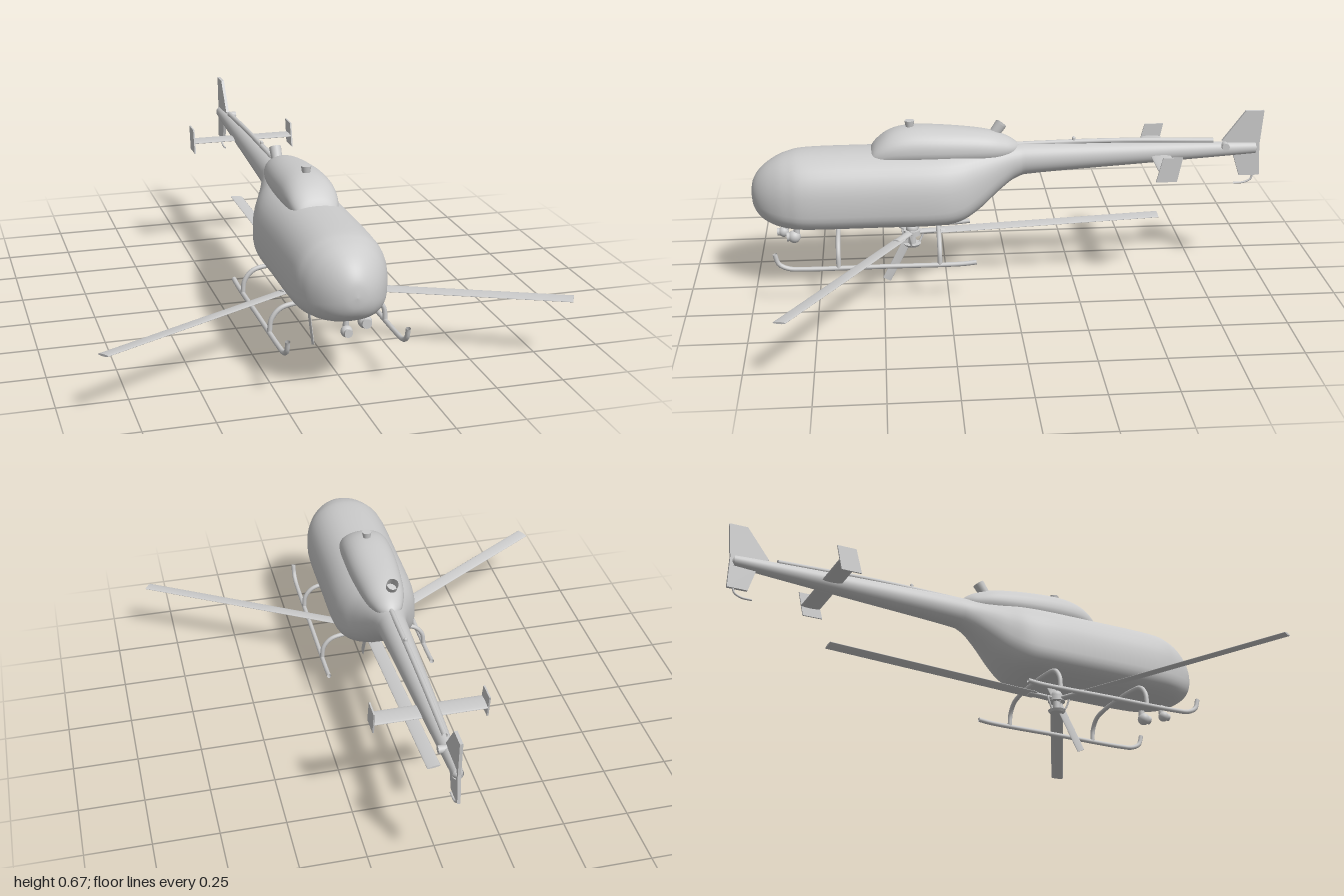
import * as THREE from 'three';

const V = (x, y, z) => new THREE.Vector3(x, y, z);
const mat = new THREE.MeshStandardMaterial({ color: 0xcccccc, side: THREE.DoubleSide });

function add(parent, name, geometry, x = 0, y = 0, z = 0) {
  const mesh = new THREE.Mesh(geometry, mat);
  mesh.name = name;
  mesh.position.set(x, y, z);
  parent.add(mesh);
  return mesh;
}

// Scalar Catmull-Rom between p1 and p2
const spline = (p0, p1, p2, p3, t) =>
  0.5 * (2 * p1 + (p2 - p0) * t + (2 * p0 - 5 * p1 + 4 * p2 - p3) * t * t + (3 * p1 - p0 - 3 * p2 + p3) * t ** 3);

// Smooth skin through stations [z, bottom, top, halfWidth, beltFraction, topPower, bottomPower]
function loft(stations, steps = 5, sides = 40) {
  const rings = [];
  const last = stations.length - 1;
  for (let i = 0; i < last; i++) {
    const p = [-1, 0, 1, 2].map(k => stations[Math.min(last, Math.max(0, i + k))]);
    for (let s = 0; s < steps; s++) rings.push(p[0].map((_, c) => spline(p[0][c], p[1][c], p[2][c], p[3][c], s / steps)));
  }
  rings.push(stations[last]);
  const pos = [], index = [];
  rings.forEach(([z, bottom, top, hw, belt, nTop, nBottom], i) => {
    const mid = bottom + belt * (top - bottom);
    for (let j = 0; j < sides; j++) {
      const a = j / sides * Math.PI * 2, c = Math.cos(a), s = Math.sin(a);
      const n = 2 / (s >= 0 ? nTop : nBottom);
      const h = s >= 0 ? top - mid : mid - bottom;
      pos.push(Math.sign(c) * Math.max(hw, 0) * Math.abs(c) ** n, mid + Math.sign(s) * h * Math.abs(s) ** n, z);
      if (i < rings.length - 1) {
        const k = (j + 1) % sides, r = i * sides, q = r + sides;
        index.push(r + j, q + j, r + k, r + k, q + j, q + k);
      }
    }
  });
  const g = new THREE.BufferGeometry();
  g.setAttribute('position', new THREE.Float32BufferAttribute(pos, 3));
  g.setIndex(index);
  g.computeVertexNormals();
  return g;
}

const tube = (points, r, segments = 32) =>
  new THREE.TubeGeometry(new THREE.CatmullRomCurve3(points), segments, r, 10);

// Thin plate from a side outline of [z, y] points
function plate(outline, thickness) {
  const shape = new THREE.Shape(outline.map(([z, y]) => new THREE.Vector2(-z, y)));
  const g = new THREE.ExtrudeGeometry(shape, { depth: thickness, bevelEnabled: false });
  return g.translate(0, 0, -thickness / 2).rotateY(Math.PI / 2);
}

// Elliptical-section bar running along z from z0 to z1
function blade(z0, z1, chord, thickness) {
  const g = new THREE.CylinderGeometry(1, 1, z1 - z0, 20);
  return g.rotateX(Math.PI / 2).scale(chord / 2, thickness / 2, 1).translate(0, 0, (z0 + z1) / 2);
}

export function createModel() {
  const model = new THREE.Group();
  model.name = 'helicopter';
  const craft = new THREE.Group();
  craft.name = 'airframe';
  craft.position.x = -0.015;
  model.add(craft);

  // Fuselage running into the tail boom
  add(craft, 'fuselage', loft([
    [1.0, 0.4, 0.4, 0, 0.45, 2, 2],
    [0.992, 0.35, 0.452, 0.042, 0.45, 2, 2.2],
    [0.965, 0.312, 0.496, 0.084, 0.43, 2, 2.5],
    [0.92, 0.288, 0.532, 0.122, 0.41, 2.1, 2.8],
    [0.86, 0.278, 0.558, 0.152, 0.4, 2.2, 3.2],
    [0.77, 0.275, 0.57, 0.17, 0.39, 2.3, 3.4],
    [0.5, 0.275, 0.572, 0.171, 0.39, 2.3, 3.4],
    [0.3, 0.275, 0.572, 0.17, 0.39, 2.3, 3.4],
    [0.2, 0.284, 0.572, 0.153, 0.4, 2.3, 3.2],
    [0.12, 0.325, 0.572, 0.118, 0.44, 2.2, 2.8],
    [0.04, 0.392, 0.572, 0.082, 0.48, 2.1, 2.4],
    [-0.03, 0.438, 0.572, 0.06, 0.5, 2, 2],
    [-0.12, 0.453, 0.571, 0.054, 0.5, 2, 2],
    [-0.55, 0.479, 0.563, 0.038, 0.5, 2, 2],
    [-0.93, 0.503, 0.552, 0.022, 0.5, 2, 2],
    [-0.965, 0.508, 0.547, 0.018, 0.5, 2, 2],
    [-0.98, 0.528, 0.528, 0, 0.5, 2, 2],
  ]));

  // Engine cowling on the roof
  add(craft, 'engineCowling', loft([
    [0.542, 0.53, 0.54, 0, 0.4, 2.4, 2],
    [0.54, 0.515, 0.56, 0.06, 0.45, 2.4, 2],
    [0.515, 0.5, 0.598, 0.083, 0.5, 2.3, 2],
    [0.46, 0.5, 0.638, 0.096, 0.48, 2.2, 2],
    [0.38, 0.5, 0.655, 0.1, 0.46, 2.2, 2],
    [0.25, 0.5, 0.65, 0.097, 0.46, 2.2, 2],
    [0.1, 0.5, 0.633, 0.081, 0.48, 2.1, 2],
    [0.02, 0.51, 0.608, 0.058, 0.5, 2, 2],
    [-0.02, 0.53, 0.585, 0.035, 0.5, 2, 2],
    [-0.045, 0.56, 0.56, 0, 0.5, 2, 2],
  ]));

  // Roof fittings
  add(craft, 'mastCap', new THREE.CylinderGeometry(0.019, 0.014, 0.03, 20), 0, 0.662, 0.385);
  const exhaust = add(craft, 'exhaust', new THREE.CylinderGeometry(0.023, 0.021, 0.05, 20, 1, true), -0.02, 0.628, 0.045);
  exhaust.rotation.x = -0.6;
  add(craft, 'driveShaftCover', tube([V(0, 0.568, 0.03), V(0, 0.573, -0.4), V(0, 0.562, -0.8)], 0.01, 12));
  add(craft, 'beacon', new THREE.CapsuleGeometry(0.007, 0.015, 4, 12), 0, 0.58, -0.25);

  // Horizontal stabiliser with swept end plates
  add(craft, 'stabiliser', blade(-0.21, 0.21, 0.08, 0.012).rotateY(Math.PI / 2), 0, 0.513, -0.59);
  for (const side of [-1, 1]) {
    add(craft, 'endPlate', plate([[-0.565, 0.568], [-0.64, 0.568], [-0.62, 0.472], [-0.54, 0.472]], 0.006), side * 0.21, 0, 0);
  }

  // Tail fin, gearbox stub and guard
  add(craft, 'tailFin', plate([[-0.835, 0.56], [-0.925, 0.68], [-0.997, 0.68], [-0.985, 0.54], [-0.99, 0.415], [-0.91, 0.415], [-0.88, 0.51]], 0.012));
  const gearbox = add(craft, 'tailGearbox', new THREE.CylinderGeometry(0.015, 0.015, 0.035, 18), 0.02, 0.543, -0.845);
  gearbox.rotation.z = Math.PI / 2;
  add(craft, 'tailGuard', tube([V(0, 0.43, -0.965), V(0, 0.4, -0.96), V(0, 0.385, -0.935), V(0, 0.382, -0.89)], 0.004));

  // Landing skids and arched cross tubes
  for (const side of [-1, 1]) {
    add(craft, 'skid', tube([V(0.215, 0.17, 0.145), V(0.215, 0.165, 0.2), V(0.215, 0.165, 0.5), V(0.215, 0.165, 0.8),
      V(0.215, 0.17, 0.86), V(0.215, 0.19, 0.895), V(0.215, 0.23, 0.908)].map(p => p.setX(p.x * side)), 0.009, 60));
  }
  for (const z of [0.285, 0.67]) {
    add(craft, 'crossTube', tube([V(-0.215, 0.165, z), V(-0.208, 0.215, z), V(-0.175, 0.253, z), V(-0.1, 0.268, z),
      V(0.1, 0.268, z), V(0.175, 0.253, z), V(0.208, 0.215, z), V(0.215, 0.165, z)], 0.009, 60));
  }

  // Sensor turret and lamp under the nose
  for (const [name, x, y, z, r] of [['sensorBall', 0.08, 0.245, 0.84, 0.025], ['lamp', 0, 0.235, 0.885, 0.021]]) {
    add(craft, name, new THREE.SphereGeometry(r, 24, 16), x, y, z);
    add(craft, name + 'Mount', new THREE.CylinderGeometry(r * 0.5, r * 0.5, 0.05, 16), x, y + 0.035, z - 0.01);
    const lens = add(craft, name + 'Lens', new THREE.CylinderGeometry(r * 0.7, r * 0.7, 0.016, 18), x, y, z + r * 0.8);
    lens.rotation.x = Math.PI / 2;
  }

  // Main rotor below the body
  const rotor = new THREE.Group();
  rotor.name = 'mainRotor';
  rotor.position.set(0, 0.217, 0.385);
  craft.add(rotor);
  add(rotor, 'mast', new THREE.CylinderGeometry(0.015, 0.015, 0.09, 18), 0, -0.012, 0);
  add(rotor, 'hub', new THREE.CylinderGeometry(0.034, 0.034, 0.02, 24));
  add(rotor, 'hubCap', new THREE.SphereGeometry(0.024, 20, 14), 0, 0.015, 0);
  add(rotor, 'swashplate', new THREE.CylinderGeometry(0.035, 0.028, 0.01, 24), 0, -0.052, 0);
  for (let i = 0; i < 3; i++) {
    const arm = new THREE.Group();
    arm.name = 'rotorArm';
    arm.rotation.y = Math.PI / 3 + 0.023 + i * Math.PI * 2 / 3;
    rotor.add(arm);
    const main = add(arm, 'mainBlade', blade(0.1, 0.98, 0.052, 0.008));
    main.rotation.set(-0.033, 0, 0.12);
    add(arm, 'bladeGrip', blade(0.015, 0.13, 0.034, 0.018)).rotation.x = -0.033;
    add(arm, 'pitchLink', tube([V(0.01, -0.05, 0.028), V(0.015, -0.025, 0.04), V(0.015, 0.004, 0.05)], 0.004, 8));
  }

  // Upright two-bladed rotor sharing the hub position
  const upright = new THREE.Group();
  upright.name = 'uprightRotor';
  upright.position.copy(rotor.position);
  upright.rotation.x = Math.PI / 2 - 0.48;
  craft.add(upright);
  for (const side of [0, 1]) {
    const small = add(upright, 'uprightBlade', blade(0.02, 0.225, 0.034, 0.006).rotateZ(Math.PI / 2));
    small.rotation.y = side * Math.PI;
  }
  const axle = add(craft, 'uprightAxle', new THREE.CylinderGeometry(0.012, 0.012, 0.05, 16), 0, 0.217, 0.385);
  axle.rotation.z = Math.PI / 2;

  return model;
}
